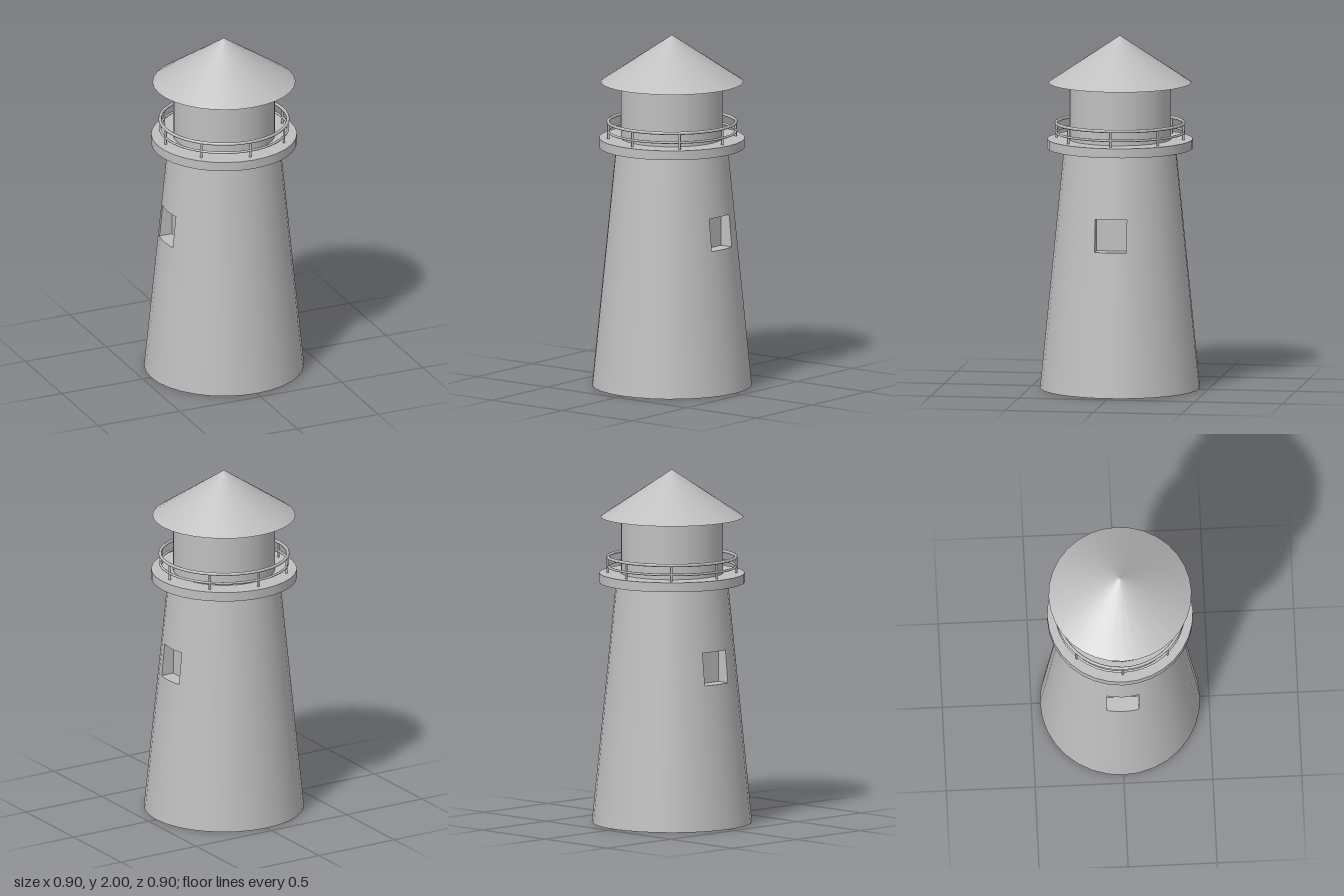
import * as THREE from 'three';

const SIDES = 32;
const TOWER_TOP = 1.36, R_BASE = 0.45, R_TOP = 0.315;
const WIN_HALF = 0.09, WIN_LOW = 0.815, WIN_HIGH = 1.0, WIN_BACK = 0.28;

const stone = new THREE.MeshStandardMaterial({ color: 0xbfbfbf });
stone.name = 'grey';

// Ring of the tower wall at height y, with extra points where the window jambs meet it
function ring(y) {
  const r = THREE.MathUtils.lerp(R_BASE, R_TOP, y / TOWER_TOP);
  const corner = (k) => {
    const a = (k / SIDES) * Math.PI * 2;
    return new THREE.Vector3(r * Math.cos(a), y, r * Math.sin(a));
  };
  const points = [];
  for (let k = 0; k < SIDES; k++) {
    const p = corner(k), q = corner(k + 1);
    points.push(p);
    for (const z of [WIN_HALF, -WIN_HALF]) {
      const t = (z - p.z) / (q.z - p.z);
      if (t > 0 && t < 1) points.push(p.clone().lerp(q, t));
    }
  }
  points.push(corner(0));
  return points;
}

// Tapered wall with a window opening on each side
function wallGeometry() {
  const levels = [0, WIN_LOW, WIN_HIGH, TOWER_TOP];
  const rings = levels.map(ring);
  const n = rings[0].length;
  const slope = (R_BASE - R_TOP) / TOWER_TOP;
  const positions = [], normals = [], index = [];
  for (const points of rings) {
    for (const p of points) {
      positions.push(p.x, p.y, p.z);
      const a = Math.atan2(p.z, p.x);
      const nrm = new THREE.Vector3(Math.cos(a), slope, Math.sin(a)).normalize();
      normals.push(nrm.x, nrm.y, nrm.z);
    }
  }
  const inWindow = (p) => Math.abs(p.z) < WIN_HALF + 1e-5;
  for (let j = 0; j < 3; j++) {
    for (let i = 0; i < n - 1; i++) {
      if (j === 1 && inWindow(rings[j][i]) && inWindow(rings[j][i + 1])) continue;
      const a = j * n + i, b = a + 1, d = a + n, c = d + 1;
      index.push(a, d, c, a, c, b);
    }
  }
  const g = new THREE.BufferGeometry();
  g.setAttribute('position', new THREE.Float32BufferAttribute(positions, 3));
  g.setAttribute('normal', new THREE.Float32BufferAttribute(normals, 3));
  g.setIndex(index);
  return g;
}

// Sill, lintel, jambs and back of one window niche, on the +x side
function nicheGeometry() {
  const edge = (y) => ring(y)
    .filter((p) => p.x > 0 && Math.abs(p.z) < WIN_HALF + 1e-5)
    .sort((p, q) => p.z - q.z);
  const low = edge(WIN_LOW), high = edge(WIN_HIGH);
  const inner = (p) => new THREE.Vector3(WIN_BACK, p.y, p.z);
  const pts = [];
  const quad = (a, b, c, d) => pts.push(a, b, c, a, c, d);
  for (let i = 0; i < low.length - 1; i++) {
    quad(low[i], inner(low[i]), inner(low[i + 1]), low[i + 1]);
    quad(high[i], high[i + 1], inner(high[i + 1]), inner(high[i]));
  }
  const l0 = low[0], h0 = high[0], l1 = low.at(-1), h1 = high.at(-1);
  quad(l1, inner(l1), inner(h1), h1);
  quad(l0, h0, inner(h0), inner(l0));
  quad(inner(l1), inner(l0), inner(h0), inner(h1));
  const g = new THREE.BufferGeometry().setFromPoints(pts);
  g.computeVertexNormals();
  return g;
}

export function createModel() {
  const model = new THREE.Group();
  model.name = 'lighthouse';

  const add = (name, geometry, y = 0, parent = model) => {
    const mesh = new THREE.Mesh(geometry, stone);
    mesh.name = name;
    mesh.position.y = y;
    parent.add(mesh);
    return mesh;
  };
  const drum = (name, rTop, rBottom, y0, y1) =>
    add(name, new THREE.CylinderGeometry(rTop, rBottom, y1 - y0, SIDES), (y0 + y1) / 2);

  // Tower
  add('towerWall', wallGeometry());
  add('towerBase', new THREE.CircleGeometry(R_BASE, SIDES).rotateX(Math.PI / 2));
  const niche = nicheGeometry();
  add('leftWindowNiche', niche);
  add('rightWindowNiche', niche).rotation.y = Math.PI;

  // Gallery deck, lantern room and roof
  drum('galleryDeck', 0.41, 0.41, TOWER_TOP, 1.413);
  drum('lanternRoom', 0.288, 0.288, 1.41, 1.735);
  add('roof', new THREE.ConeGeometry(0.402, 0.268, SIDES), 1.866);

  // Railing: two hoops on eight posts
  const railing = new THREE.Group();
  railing.name = 'railing';
  model.add(railing);
  const hoop = (name, tube, y) =>
    add(name, new THREE.TorusGeometry(0.36, tube, 8, 48).rotateX(Math.PI / 2), y, railing);
  hoop('topRail', 0.009, 1.504);
  hoop('midRail', 0.007, 1.451);
  const postShape = new THREE.CylinderGeometry(0.007, 0.007, 0.095, 8);
  for (let i = 0; i < 8; i++) {
    const a = (i / 8) * Math.PI * 2;
    const post = add('railPost', postShape, 1.4575, railing);
    post.position.x = 0.36 * Math.cos(a);
    post.position.z = 0.36 * Math.sin(a);
  }
  return model;
}
